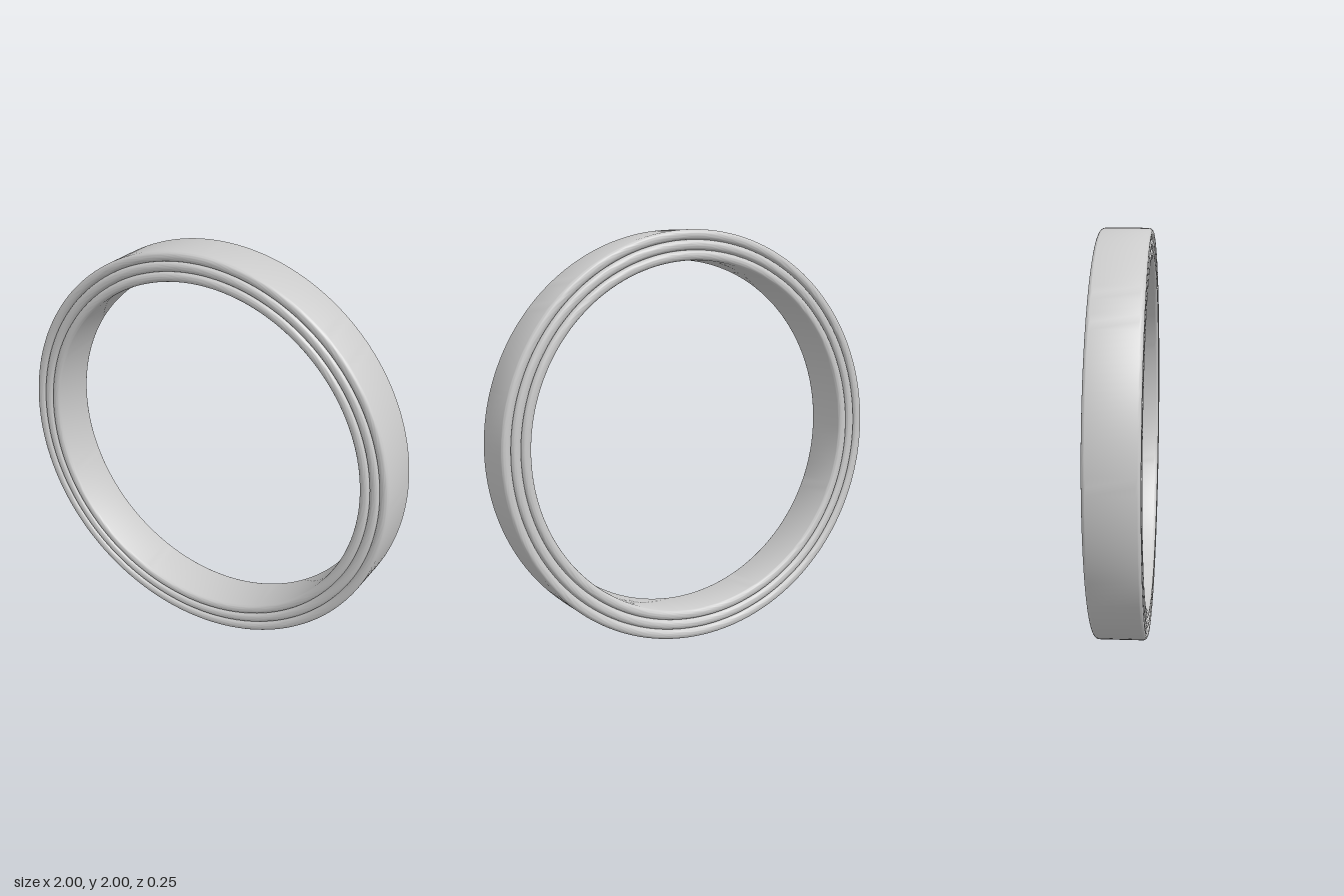
import * as THREE from 'three';
import { toCreasedNormals } from 'three/addons/utils/BufferGeometryUtils.js';

const OUTER = 1, INNER = 0.855, HALF_DEPTH = 0.124;
const BEADS = 3, CORNER = 0.021, STEPS = 6;

// Cross-section of the band: straight walls, rounded beads on both rims
function bandProfile() {
  const width = (OUTER - INNER) / BEADS;
  const points = [];
  const corner = (cx, cy, start) => {
    for (let i = 0; i <= STEPS; i++) {
      const a = start + (i / STEPS) * Math.PI / 2;
      points.push(new THREE.Vector2(cx + CORNER * Math.cos(a), cy + CORNER * Math.sin(a)));
    }
  };
  const y = HALF_DEPTH - CORNER;
  // Front rim, outside to inside
  for (let b = 0; b < BEADS; b++) {
    const right = OUTER - b * width;
    corner(right - CORNER, y, 0);
    corner(right - width + CORNER, y, Math.PI / 2);
    if (b < BEADS - 1) points.pop(); // neighbouring beads share the valley point
  }
  // Back rim, inside to outside
  for (let b = 0; b < BEADS; b++) {
    const left = INNER + b * width;
    corner(left + CORNER, -y, Math.PI);
    corner(left + width - CORNER, -y, Math.PI * 1.5);
    if (b < BEADS - 1) points.pop();
  }
  points.push(points[0].clone());
  return points;
}

export function createModel() {
  const model = new THREE.Group();
  model.name = 'ring';

  // Beaded band turned about the z axis, with sharp valleys between beads
  const geometry = toCreasedNormals(new THREE.LatheGeometry(bandProfile(), 160), 0.8);
  geometry.rotateX(Math.PI / 2);
  const band = new THREE.Mesh(geometry, new THREE.MeshStandardMaterial({ color: 0xcccccc }));
  band.name = 'beadedBand';
  band.position.y = OUTER;
  model.add(band);

  return model;
}
